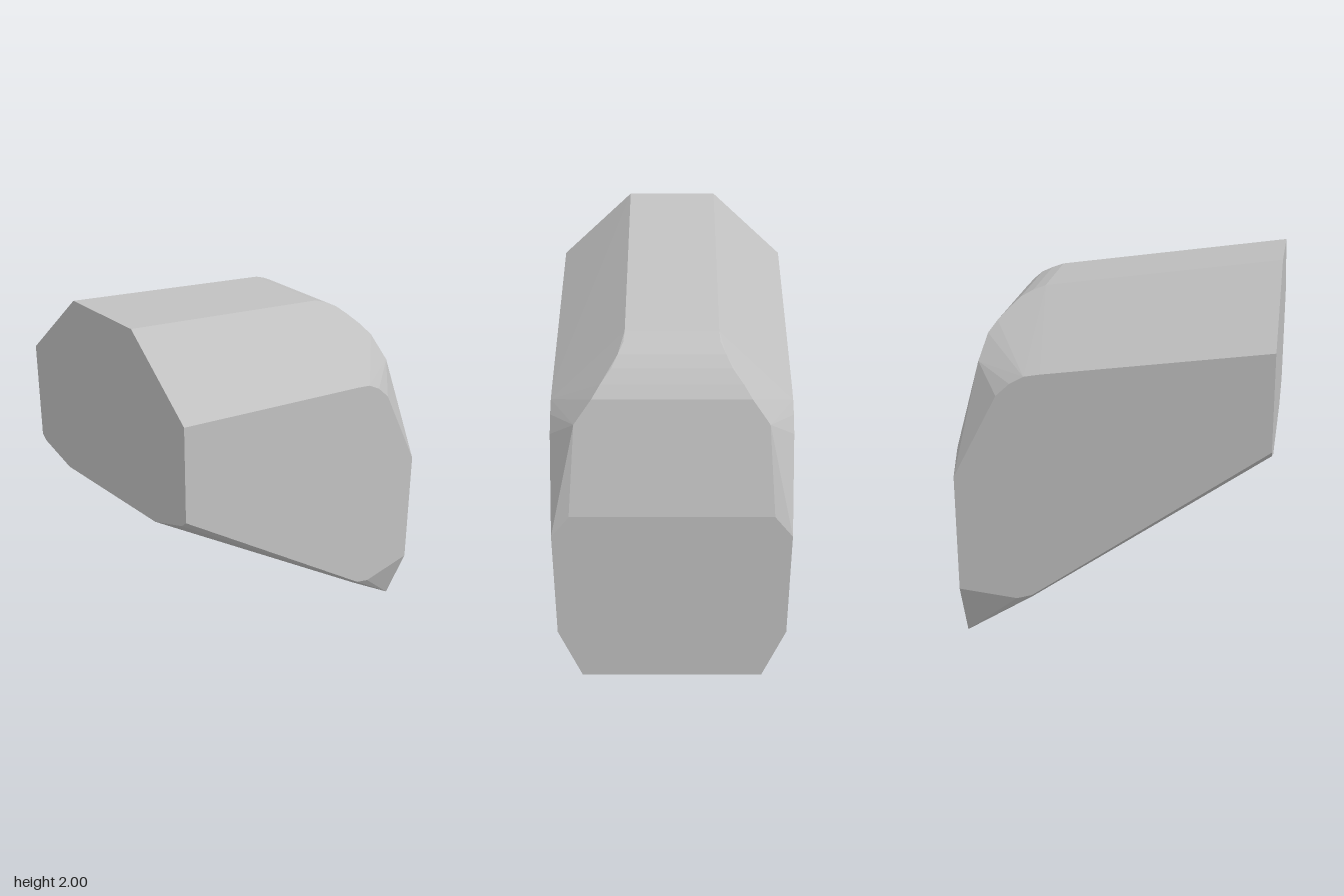
import * as THREE from 'three';
import { ConvexGeometry } from 'three/addons/geometries/ConvexGeometry.js';

// Faceted convex block: every corner is listed for one side and mirrored across x.
export function createModel() {
  const grey = new THREE.MeshStandardMaterial({ color: 0xc0c0c0 });
  grey.name = 'stoneGrey';

  // Flat front outline
  const front = [[0.22, 2.0, 0.78], [0.58, 1.65, 0.78], [0.58, 1.16, 0.78], [0.55, 1.13, 0.78], [0.35, 1.06, 0.78]];
  // Rounded bend where the roof turns down into the back
  const roofBend = [[0.22, 1.83, -0.37], [0.225, 1.807, -0.43], [0.25, 1.775, -0.49],
    [0.28, 1.73, -0.54], [0.33, 1.675, -0.59], [0.37, 1.62, -0.63], [0.455, 1.5, -0.662]];
  // Rounded bend along the upper edge of the side wall
  const sideBend = [[0.58, 1.49, -0.33], [0.58, 1.475, -0.41], [0.58, 1.435, -0.48], [0.58, 1.37, -0.55]];
  // Flat back outline
  const back = [[0.49, 1.05, -0.78], [0.58, 0.93, -0.78], [0.58, 0.305, -0.78], [0.465, 0, -0.78]];
  // Chamfer under the side wall
  const keel = [[0.58, 0.3, -0.4], [0.58, 0.275, -0.48], [0.55, 0.28, -0.4]];

  const points = [];
  for (const [x, y, z] of [...front, ...roofBend, ...sideBend, ...back, ...keel]) {
    for (const side of [1, -1]) points.push(new THREE.Vector3(side * x, y, z));
  }

  const block = new THREE.Mesh(new ConvexGeometry(points), grey);
  block.name = 'facetedBlock';

  const model = new THREE.Group();
  model.name = 'block';
  model.add(block);
  return model;
}
